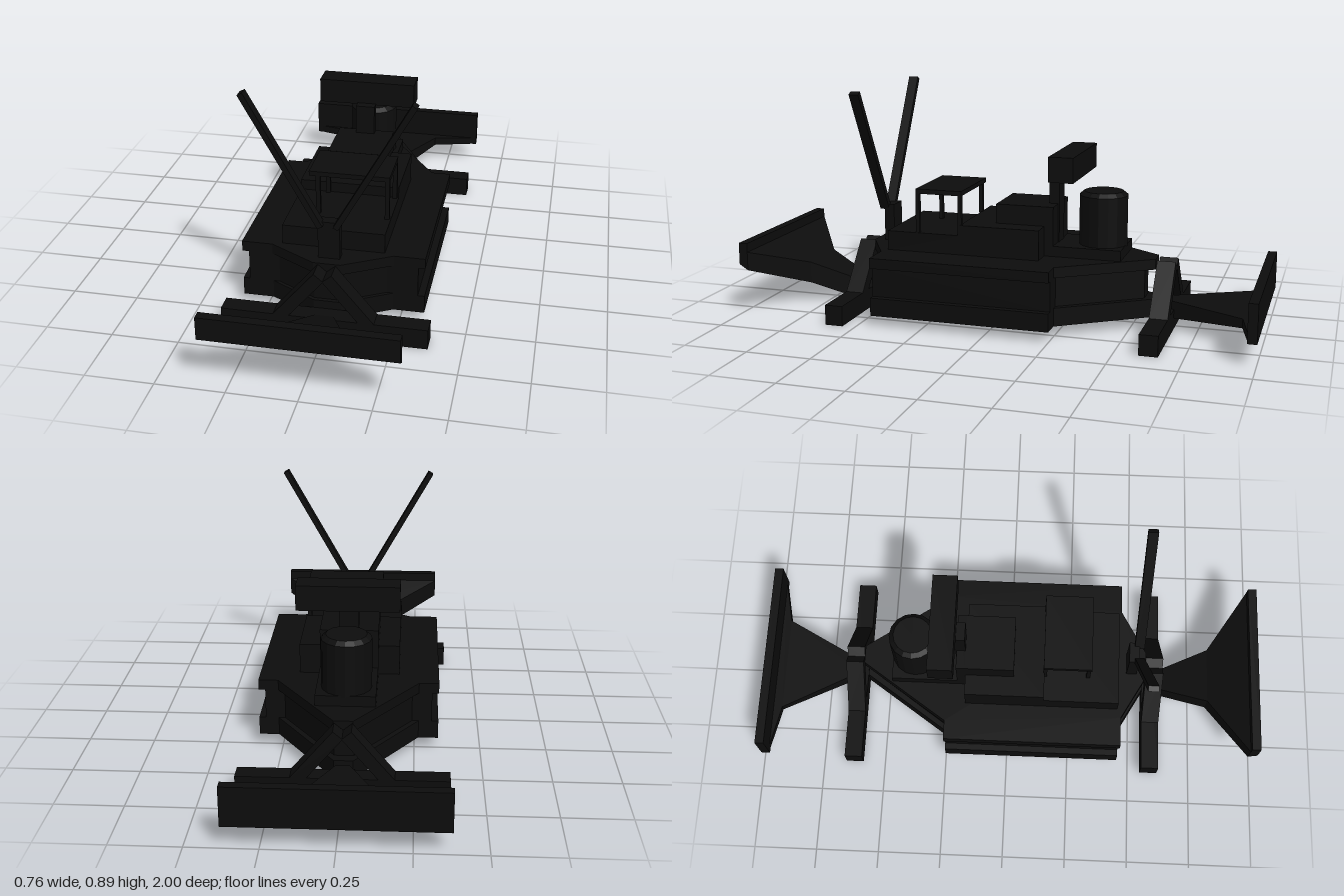
import * as THREE from 'three';

const material = new THREE.MeshStandardMaterial({ color: 0x0d0d0d, flatShading: true });

export function createModel() {
  const model = new THREE.Group();
  model.name = 'armouredRaft';

  const add = (name, geometry) => {
    const mesh = new THREE.Mesh(geometry, material);
    mesh.name = name;
    model.add(mesh);
    return mesh;
  };

  // Box given by its extents along each axis
  const box = (name, x0, x1, y0, y1, z0, z1) => {
    const mesh = add(name, new THREE.BoxGeometry(x1 - x0, y1 - y0, z1 - z0));
    mesh.position.set((x0 + x1) / 2, (y0 + y1) / 2, (z0 + z1) / 2);
    return mesh;
  };

  // Slab with a plan outline given for the left half as [x, z], mirrored to the right
  const slab = (name, half, y0, y1) => {
    const mirrored = half.map(([x, z]) => [-x, z]).reverse();
    const shape = new THREE.Shape([...half, ...mirrored].map(p => new THREE.Vector2(...p)));
    const geometry = new THREE.ExtrudeGeometry(shape, { depth: y1 - y0, bevelEnabled: false });
    geometry.rotateX(Math.PI / 2);
    geometry.translate(0, y1, 0);
    return add(name, geometry);
  };

  // Bar between two points in the xy plane, w thick and d deep along z
  const bar = (name, x0, y0, x1, y1, z, w, d) => {
    const mesh = add(name, new THREE.BoxGeometry(w, Math.hypot(x1 - x0, y1 - y0), d));
    mesh.position.set((x0 + x1) / 2, (y0 + y1) / 2, z);
    mesh.rotation.z = -Math.atan2(x1 - x0, y1 - y0);
    return mesh;
  };

  // Loft of rectangular sections [z, halfWidth, bottom, top], ordered by rising z
  const loft = (name, sections) => {
    const points = [], index = [];
    for (const [z, w, b, t] of sections) points.push(-w, b, z, w, b, z, w, t, z, -w, t, z);
    for (let s = 0; s < sections.length - 1; s++) {
      for (let i = 0; i < 4; i++) {
        const a = s * 4 + i, c = s * 4 + (i + 1) % 4;
        index.push(a, c, c + 4, a, c + 4, a + 4);
      }
    }
    const e = (sections.length - 1) * 4;
    index.push(0, 2, 1, 0, 3, 2, e, e + 1, e + 2, e, e + 2, e + 3);
    const geometry = new THREE.BufferGeometry();
    geometry.setAttribute('position', new THREE.Float32BufferAttribute(points, 3));
    geometry.setIndex(index);
    const flat = geometry.toNonIndexed();
    flat.computeVertexNormals();
    return add(name, flat);
  };

  // Hull: skirt, recessed body and overhanging deck
  const hullPlan = (side, front, back) => [
    [0.035, back], [side - 0.075, -0.25], [side, -0.25],
    [side, 0.45], [side - 0.115, 0.45], [0.05, front],
  ];
  slab('hullSkirt', hullPlan(0.34, 0.55, -0.585), 0.04, 0.11);
  slab('hullBody', hullPlan(0.315, 0.535, -0.545), 0.11, 0.225);
  slab('deck', hullPlan(0.34, 0.55, -0.585), 0.225, 0.265);

  // Stepped superstructure
  box('frontCabin', -0.19, 0.19, 0.265, 0.34, 0.14, 0.435);
  box('middleCabin', -0.19, 0.19, 0.265, 0.38, -0.17, 0.14);
  box('upperCabin', -0.11, 0.11, 0.38, 0.455, -0.17, 0.02);
  box('cabinBack', -0.11, 0.11, 0.265, 0.455, -0.205, -0.17);
  box('turretBase', -0.11, 0.11, 0.265, 0.305, -0.465, -0.205);

  // Offset canopy on thin posts
  box('canopyRoof', -0.115, 0.185, 0.492, 0.51, 0.135, 0.32);
  for (const x of [-0.09, 0.168]) {
    for (const z of [0.135, 0.305]) {
      box('canopyPost', x, x + 0.017, 0.335, 0.495, z, z + 0.015);
    }
  }

  // Rear turret with a chamfered top
  const turretProfile = [[0, 0.3], [0.093, 0.3], [0.093, 0.495], [0.075, 0.51], [0, 0.51]];
  const turret = add('turret', new THREE.LatheGeometry(turretProfile.map(p => new THREE.Vector2(...p)), 16));
  turret.position.z = -0.375;

  // Raised beam and its post
  box('beamPost', -0.037, 0.037, 0.265, 0.57, -0.21, -0.17);
  box('raisedBeam', -0.19, 0.19, 0.565, 0.66, -0.3, -0.205);

  // Twin leaning masts
  box('mastBase', -0.04, 0.04, 0.265, 0.41, 0.47, 0.51);
  for (const s of [-1, 1]) bar('mast', s * 0.028, 0.395, s * 0.301, 0.882, 0.51, 0.021, 0.038);

  // Cross beams with A-shaped braces at both ends
  for (const z of [0.585, -0.625]) {
    box('crossBeam', -0.378, 0.378, 0, 0.078, z - 0.035, z + 0.035);
    for (const s of [-1, 1]) bar('brace', s * 0.17, 0.06, s * 0.015, 0.245, z, 0.045, 0.07);
  }

  // Front scoop
  loft('frontScoop', [
    [0.6, 0.035, 0, 0.08], [0.81, 0.11, 0.08, 0.165],
    [0.965, 0.34, 0.178, 0.25], [1, 0.34, 0.2, 0.25],
  ]);
  box('frontBlade', -0.34, 0.34, 0.2, 0.285, 0.965, 1);

  // Rear ramp and plate
  loft('rearRamp', [
    [-0.97, 0.378, 0.08, 0.11], [-0.93, 0.19, 0.075, 0.11], [-0.62, 0.025, 0.04, 0.11],
  ]);
  box('rearPlate', -0.378, 0.378, 0.08, 0.225, -1, -0.965);

  return model;
}
